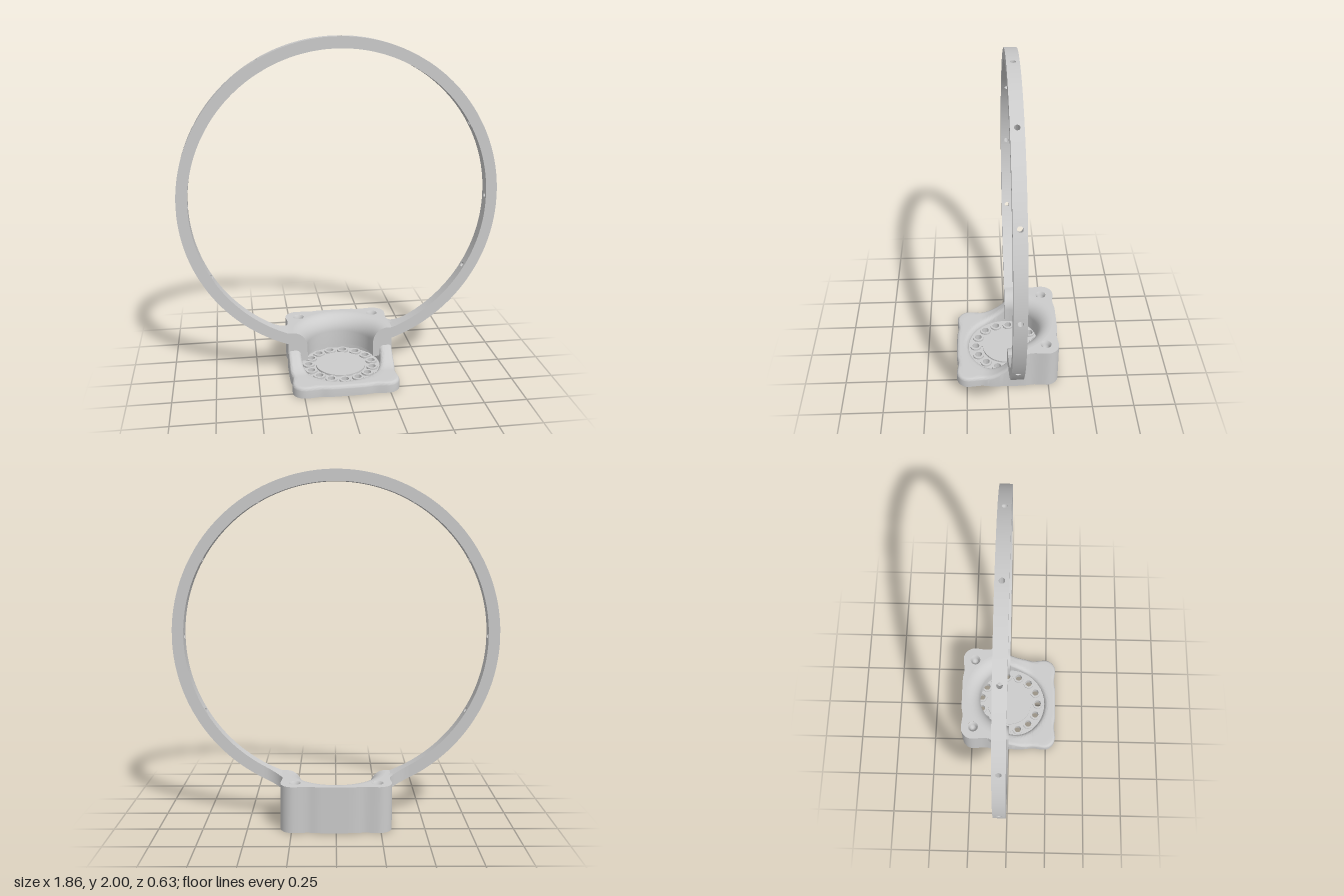
import * as THREE from 'three';
import { toCreasedNormals } from 'three/addons/utils/BufferGeometryUtils.js';

const RING_Y = 1.07, R_OUT = 0.93, R_IN = 0.865, THICK = 0.07;
const BASE_H = 0.265, PLATE_H = 0.065, POCKET = 0.24, BORE = 0.2, FLARE = 0.29;
const rad = THREE.MathUtils.degToRad;
const V = (x, y, z) => new THREE.Vector3(x, y, z);

// Surface through rows of points
function loft(rows) {
  const pos = [];
  const put = (...pts) => pts.forEach(p => pos.push(p.x, p.y, p.z));
  for (let i = 0; i < rows.length - 1; i++) {
    for (let j = 0; j < rows[i].length - 1; j++) {
      const a = rows[i][j], b = rows[i + 1][j], c = rows[i + 1][j + 1], d = rows[i][j + 1];
      put(a, b, c, a, c, d);
    }
  }
  const g = new THREE.BufferGeometry();
  g.setAttribute('position', new THREE.Float32BufferAttribute(pos, 3));
  return toCreasedNormals(g, rad(35));
}

// Wavy rounded-square footprint, as a radius for each angle (0 = front)
function footprint(t) {
  const half = 0.315, r = 0.08, c = half - r;
  const s = Math.abs(Math.sin(t)), k = Math.abs(Math.cos(t));
  const a = Math.max(s, k), b = Math.min(s, k);
  let R = half / a;
  if (R * b > c) {
    const dc = c * (a + b);
    R = dc + Math.sqrt(dc * dc - (2 * c * c - r * r));
  }
  const off = THREE.MathUtils.radToDeg(Math.atan2(b, a));
  return R - 0.01 * Math.exp(-(((off - 28) / 7) ** 2));
}

// Sweep a profile of [radius, height] pairs around the y axis
function sweep(from, to, profile, steps = 96) {
  const rows = [];
  for (let i = 0; i <= steps; i++) {
    const t = from + (to - from) * i / steps;
    rows.push(profile(t).map(([r, y]) => V(r * Math.sin(t), y, r * Math.cos(t))));
  }
  return loft(rows);
}

// Low front plate that curves up to the side arms
function frontProfile(t) {
  const R = footprint(t), pts = [[POCKET, 0], [R, 0]];
  const height = r => PLATE_H + 0.085 * Math.max(0, 1 - r * Math.cos(t) / 0.16) ** 2;
  const add = (r, drop) => pts.push([r, height(r) - drop]);
  for (let i = 0; i <= 5; i++) {
    const a = i / 5 * Math.PI / 2;
    add(R - 0.02 * (1 - Math.cos(a)), 0.02 * (1 - Math.sin(a)));
  }
  for (let i = 1; i <= 4; i++) add(THREE.MathUtils.lerp(R - 0.02, POCKET + 0.03, i / 4), 0);
  for (let i = 1; i <= 6; i++) {
    const a = i / 6 * Math.PI / 2;
    add(POCKET + 0.03 * (1 - Math.sin(a)), 0.03 * (1 - Math.cos(a)));
  }
  pts.push([POCKET, 0]);
  return pts;
}

// Flared bore of the tall back block, with an undercut at its foot
function boreProfile() {
  const pts = [];
  for (let i = 0; i <= 12; i++) {
    const a = i / 12 * Math.PI / 2;
    pts.push([FLARE - (FLARE - BORE) * Math.sin(a), 0.17 + (BASE_H - 0.17) * Math.cos(a)]);
  }
  pts.push([BORE, 0.08], [POCKET, 0.08], [POCKET, 0]);
  return pts;
}
const outerProfile = t => [[POCKET, 0], [footprint(t), 0], [footprint(t), BASE_H]];

function circleHole(x, y, r) {
  return new THREE.Path().absarc(x, y, r, 0, Math.PI * 2, true);
}

export function createModel() {
  const model = new THREE.Group();
  const mat = new THREE.MeshStandardMaterial({ color: 0xcccccc });
  const thin = new THREE.MeshStandardMaterial({ color: 0xcccccc, side: THREE.DoubleSide });
  const add = (name, geo, material = mat, parent = model) => {
    const m = new THREE.Mesh(geo, material);
    m.name = name;
    parent.add(m);
    return m;
  };
  const group = name => {
    const g = new THREE.Group();
    g.name = name;
    model.add(g);
    return g;
  };
  const Q = Math.PI / 2;

  // Base
  const base = group('base');
  add('frontPlate', sweep(-Q, Q, frontProfile), mat, base);
  add('backBlockWall', sweep(Q, 3 * Q, outerProfile), mat, base);
  add('backBlockBore', sweep(Q, 3 * Q, boreProfile), mat, base);

  // Flat top of the back block with two screw holes
  const outline = [];
  for (let i = 0; i <= 96; i++) {
    const t = Q + Math.PI * i / 96, R = footprint(t);
    outline.push(new THREE.Vector2(R * Math.sin(t), -R * Math.cos(t)));
  }
  for (let i = 96; i >= 0; i--) {
    const t = Q + Math.PI * i / 96;
    outline.push(new THREE.Vector2(FLARE * Math.sin(t), -FLARE * Math.cos(t)));
  }
  const top = new THREE.Shape(outline);
  for (const s of [-1, 1]) top.holes.push(circleHole(s * 0.232, 0.235, 0.033));
  add('backBlockTop', new THREE.ShapeGeometry(top, 24).rotateX(-Q).translate(0, BASE_H, 0), mat, base);

  const cup = [[0, -0.055], [0.018, -0.05], [0.02, -0.02], [0.033, 0]].map(p => new THREE.Vector2(...p));
  for (const s of [-1, 1]) {
    add('screwHole', new THREE.LatheGeometry(cup, 24), thin, base).position.set(s * 0.232, BASE_H, -0.235);

    // Front end face of the back block
    const face = [...outerProfile(Q), ...boreProfile().slice(0, -1)];
    add('armFace', new THREE.ShapeGeometry(new THREE.Shape(
      face.map(([r, y]) => new THREE.Vector2(s * r, y)))), thin, base);

    // Concave gusset from the block to the back of the hoop
    const rows = [];
    for (let i = 0; i <= 12; i++) {
      const k = i / 12, x = 0.3 + 0.12 * k;
      const lo = RING_Y - Math.sqrt(R_OUT ** 2 - x * x);
      const hi = Math.max(BASE_H, RING_Y - Math.sqrt(R_IN ** 2 - x * x));
      const z = -THICK - 0.1 * (1 - Math.sqrt(1 - (1 - k) ** 2));
      rows.push([V(s * x, lo, -THICK), V(s * x, lo, z), V(s * x, hi, z), V(s * x, hi, -THICK)]);
    }
    if (s < 0) rows.reverse();
    add('gusset', loft(rows), thin, base);
  }

  // Perforated disc in the pocket
  const disc = group('disc');
  const plate = new THREE.Shape().absarc(0, 0, POCKET, 0, Math.PI * 2);
  const collar = [[0.022, 0.03], [0.035, 0.03], [0.035, 0.046], [0.022, 0.046], [0.022, 0.03]]
    .map(p => new THREE.Vector2(...p));
  for (let i = 0; i < 15; i++) {
    const a = i / 15 * Math.PI * 2, x = 0.194 * Math.sin(a), z = 0.194 * Math.cos(a);
    plate.holes.push(circleHole(x, -z, 0.022));
    add('holeCollar', toCreasedNormals(new THREE.LatheGeometry(collar, 20), rad(35)), mat, disc)
      .position.set(x, 0, z);
  }
  add('discPlate', toCreasedNormals(new THREE.ExtrudeGeometry(plate,
    { depth: 0.035, bevelEnabled: false, curveSegments: 32 }).rotateX(-Q), rad(35)), mat, disc);
  add('discCentre', new THREE.CylinderGeometry(0.15, 0.15, 0.02, 48), mat, disc).position.y = 0.036;

  // Hoop: plain arcs between short pieces pierced by radial holes
  const hoop = group('hoop');
  const half = 2;
  let start = -70.5;
  const arc = (a, b) => {
    const s = new THREE.Shape();
    s.absarc(0, RING_Y, R_OUT, rad(a), rad(b), false);
    s.absarc(0, RING_Y, R_IN, rad(b), rad(a), true);
    const g = new THREE.ExtrudeGeometry(s, { depth: THICK, bevelEnabled: false, curveSegments: 16 });
    add('hoopArc', toCreasedNormals(g.translate(0, 0, -THICK), rad(35)), mat, hoop);
  };
  for (let a = -30; a <= 210; a += 30) {
    arc(start, a - half);
    start = a + half;
    const w = rad(half) * 0.9;
    const s = new THREE.Shape([[-w, -THICK], [w, -THICK], [w, 0], [-w, 0]].map(p => new THREE.Vector2(...p)));
    s.holes.push(circleHole(0, -THICK / 2, 0.015));
    const g = new THREE.ExtrudeGeometry(s, { depth: R_OUT - R_IN, bevelEnabled: false, curveSegments: 16 });
    const p = g.attributes.position;
    for (let i = 0; i < p.count; i++) {
      const t = rad(a) + p.getX(i) / 0.9, r = R_IN + p.getZ(i);
      p.setXYZ(i, r * Math.cos(t), RING_Y + r * Math.sin(t), p.getY(i));
    }
    add('hoopHolePiece', toCreasedNormals(g, rad(35)), mat, hoop);
  }
  arc(start, 250.5);

  return model;
}
